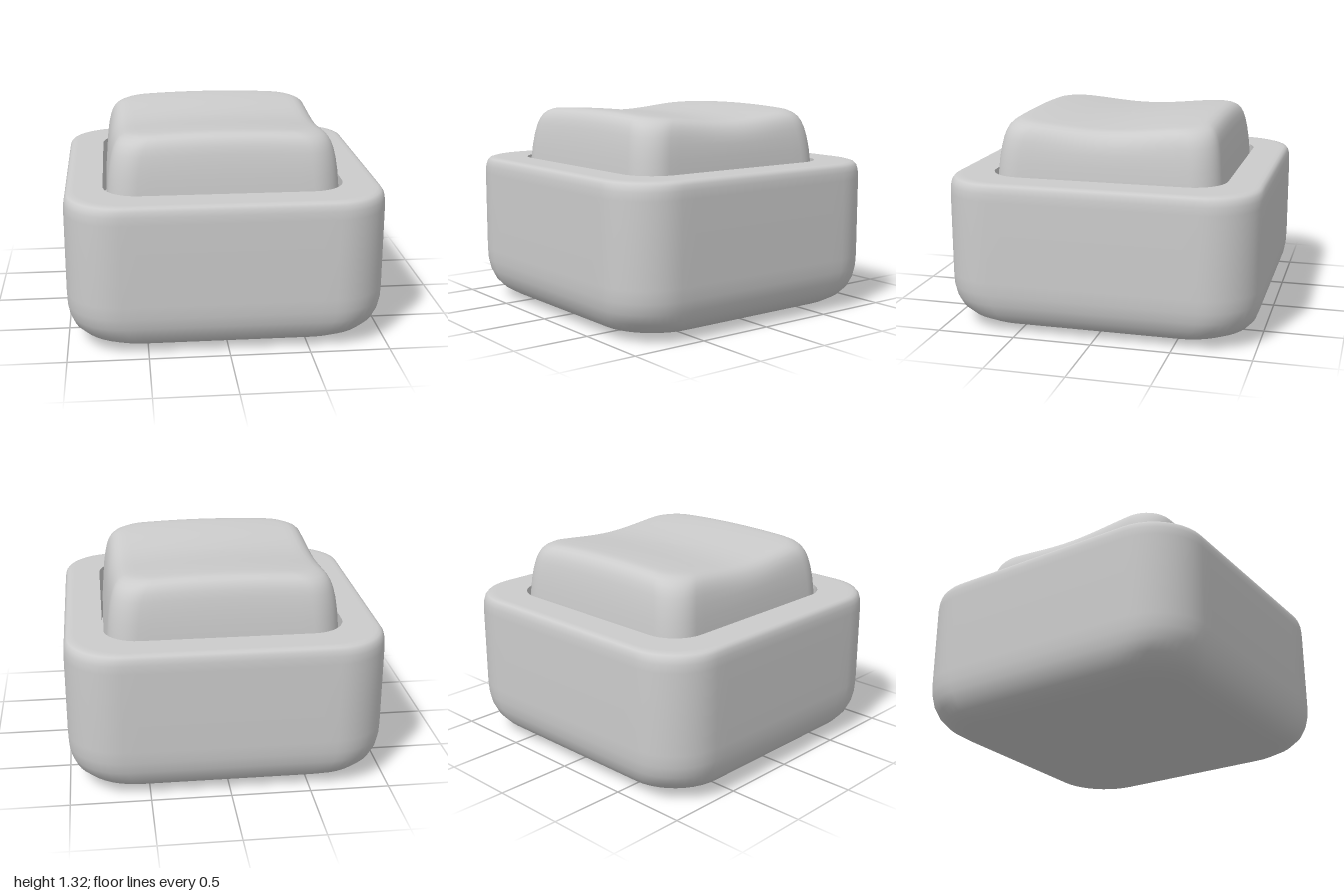
import * as THREE from 'three';

const SIDE = 14, CORNER = 10;

// Outline of a rounded square with half-size h and corner radius r, as [x, z] points
function roundedSquare(h, r) {
  const pts = [], c = h - r;
  for (let q = 0; q < 4; q++) {
    const turn = (q * Math.PI) / 2, cos = Math.cos(turn), sin = Math.sin(turn);
    const add = (x, z) => pts.push([x * cos - z * sin, x * sin + z * cos]);
    for (let i = 0; i < SIDE; i++) add(h, -c + (2 * c * i) / SIDE);
    for (let i = 0; i < CORNER; i++) {
      const a = (i / CORNER) * (Math.PI / 2);
      add(c + r * Math.cos(a), c + r * Math.sin(a));
    }
  }
  return pts;
}

// Skin through rounded-square rings [h, y, r]; a repeated ring makes a sharp edge
function loft(rings, lift = () => 0) {
  const pos = [], index = [], n = 4 * (SIDE + CORNER);
  rings.forEach(([h, y, r], k) => {
    for (const [x, z] of roundedSquare(h, Math.min(r, h))) pos.push(x, y + lift(x, y, z), z);
    if (k === 0) return;
    const prev = rings[k - 1];
    if (prev[0] === h && prev[1] === y) return;
    for (let i = 0; i < n; i++) {
      const a = (k - 1) * n + i, b = (k - 1) * n + ((i + 1) % n);
      index.push(a, a + n, b, b, a + n, b + n);
    }
  });
  const g = new THREE.BufferGeometry();
  g.setAttribute('position', new THREE.Float32BufferAttribute(pos, 3));
  g.setIndex(index);
  g.computeVertexNormals();
  return g;
}

export function createModel() {
  const group = new THREE.Group();
  const grey = new THREE.MeshStandardMaterial({ color: 0xcccccc, roughness: 0.6 });
  const addPart = (name, geometry) => {
    const mesh = new THREE.Mesh(geometry, grey);
    mesh.name = name;
    group.add(mesh);
  };

  // Housing: soft underside, straight walls, tight top edge, square well
  const R = 0.34;
  addPart('housing', loft([
    [0, 0, R], [0.4, 0, R], [0.62, 0.002, R], [0.72, 0.009, R], [0.8, 0.02, R],
    [0.87, 0.043, R], [0.92, 0.075, R], [0.96, 0.125, R], [0.985, 0.19, R],
    [0.997, 0.26, R], [1, 0.34, R], [1, 0.6, R], [1, 0.86, R], [0.997, 0.91, R],
    [0.99, 0.942, R], [0.978, 0.96, R], [0.96, 0.967, R], [0.935, 0.968, R],
    [0.85, 0.968, 0.29], [0.757, 0.968, 0.22], [0.757, 0.968, 0.22],
    [0.755, 0.6, 0.22], [0.755, 0.6, 0.22], [0, 0.6, 0.22],
  ]));

  // Button cap: flared sides and a top dished front to back, slightly crowned across
  const shape = (x, y, z) => {
    const w = THREE.MathUtils.smoothstep(y, 1.08, 1.31);
    const dish = Math.abs(z) < 0.6 ? 0.5 + 0.5 * Math.cos((Math.PI * z) / 0.6) : 0;
    return -w * (0.038 * dish + 0.02 * (x / 0.57) ** 2);
  };
  const C = 0.18;
  const top = [0.54, 0.48, 0.4, 0.32, 0.24, 0.16, 0.08, 0].map((h) => [h, 1.32, Math.min(C, h * 0.25)]);
  addPart('buttonCap', loft([
    [0.745, 0.6, C], [0.74, 0.8, C], [0.726, 0.97, C], [0.719, 1.05, C], [0.708, 1.13, C],
    [0.695, 1.2, C], [0.682, 1.245, C], [0.666, 1.278, C], [0.645, 1.3, C],
    [0.618, 1.314, C], [0.585, 1.32, 0.16], ...top,
  ], shape));

  return group;
}
